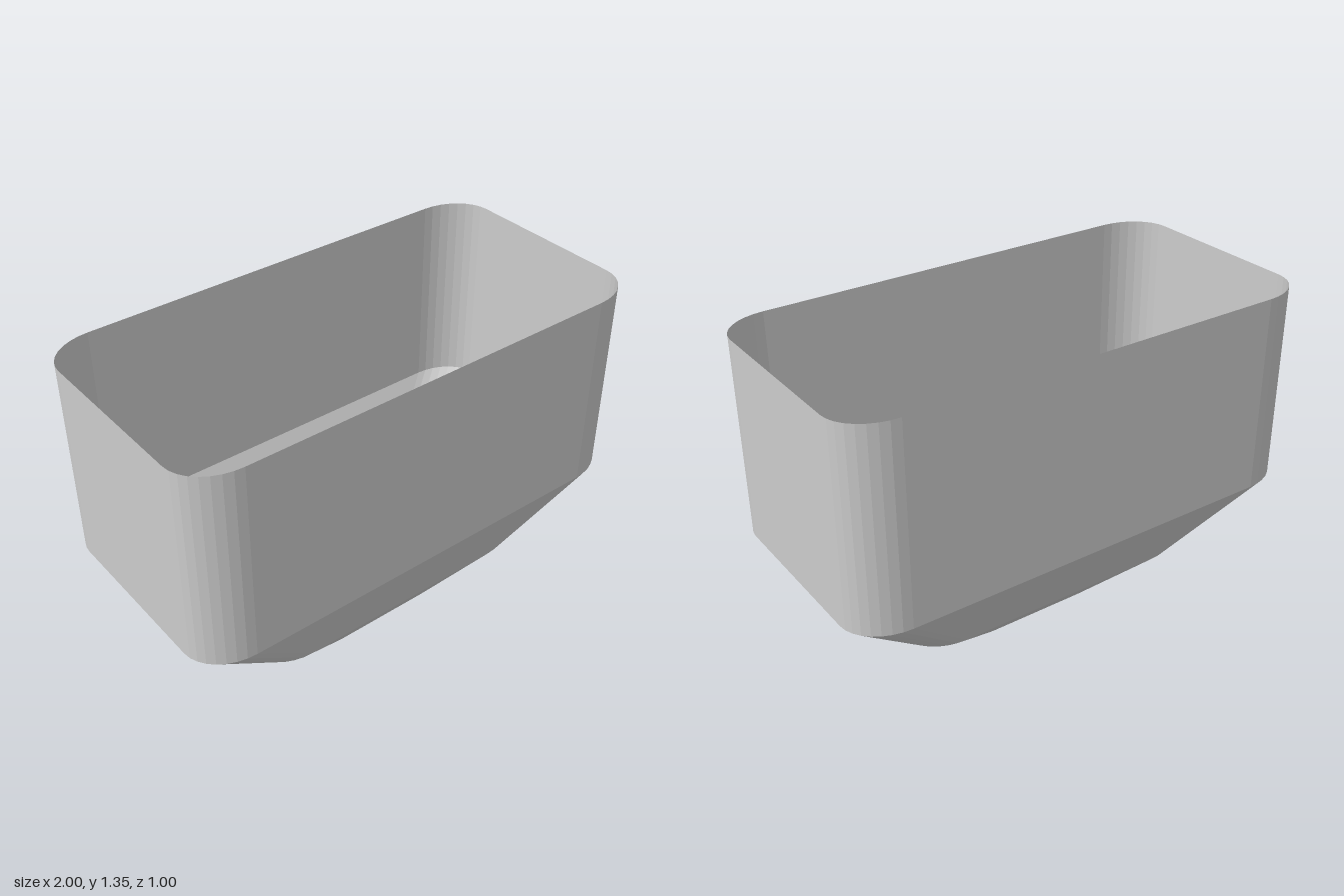
import * as THREE from 'three';

const STEPS = 8; // facets per rounded corner

// Rounded rectangle cross-section at height y, with elliptical corners
function ring({ y, hx, back, front, rx, rz }) {
  const pts = [];
  const corners = [[hx - rx, front - rz], [-hx + rx, front - rz], [-hx + rx, back + rz], [hx - rx, back + rz]];
  corners.forEach(([cx, cz], q) => {
    for (let i = 0; i <= STEPS; i++) {
      const a = (q + i / STEPS) * Math.PI / 2;
      pts.push(new THREE.Vector3(cx + rx * Math.cos(a), y, cz + rz * Math.sin(a)));
    }
  });
  return pts;
}

function meshFrom(points, name, material) {
  const geometry = new THREE.BufferGeometry().setFromPoints(points);
  geometry.computeVertexNormals();
  const mesh = new THREE.Mesh(geometry, material);
  mesh.name = name;
  return mesh;
}

// Wall between two cross-sections, facing outward
function wall(lower, upper, name, material) {
  const tris = [];
  lower.forEach((a, i) => {
    const j = (i + 1) % lower.length;
    tris.push(a, upper[i], upper[j], a, upper[j], lower[j]);
  });
  return meshFrom(tris, name, material);
}

export function createModel() {
  const group = new THREE.Group();
  group.name = 'openHopper';
  const material = new THREE.MeshStandardMaterial({ color: 0xcccccc, side: THREE.DoubleSide, flatShading: true });

  // Cross-sections from floor to rim; the lower ones sit forward of centre
  const rings = [
    { y: 0, hx: 0.335, back: -0.115, front: 0.22, rx: 0.12, rz: 0.1 },
    { y: 0.19, hx: 0.655, back: -0.3, front: 0.355, rx: 0.19, rz: 0.16 },
    { y: 0.525, hx: 1, back: -0.498, front: 0.498, rx: 0.2, rz: 0.16 },
    { y: 1.35, hx: 1, back: -0.498, front: 0.498, rx: 0.2, rz: 0.16 },
  ].map(ring);

  // Walls
  ['lowerFunnel', 'upperFunnel', 'uprightWall'].forEach((name, i) => {
    group.add(wall(rings[i], rings[i + 1], name, material));
  });

  // Floor, facing down
  const floor = [];
  const centre = new THREE.Vector3(0, 0, 0.0525);
  rings[0].forEach((p, i) => floor.push(centre, p, rings[0][(i + 1) % rings[0].length]));
  group.add(meshFrom(floor, 'floor', material));

  return group;
}
